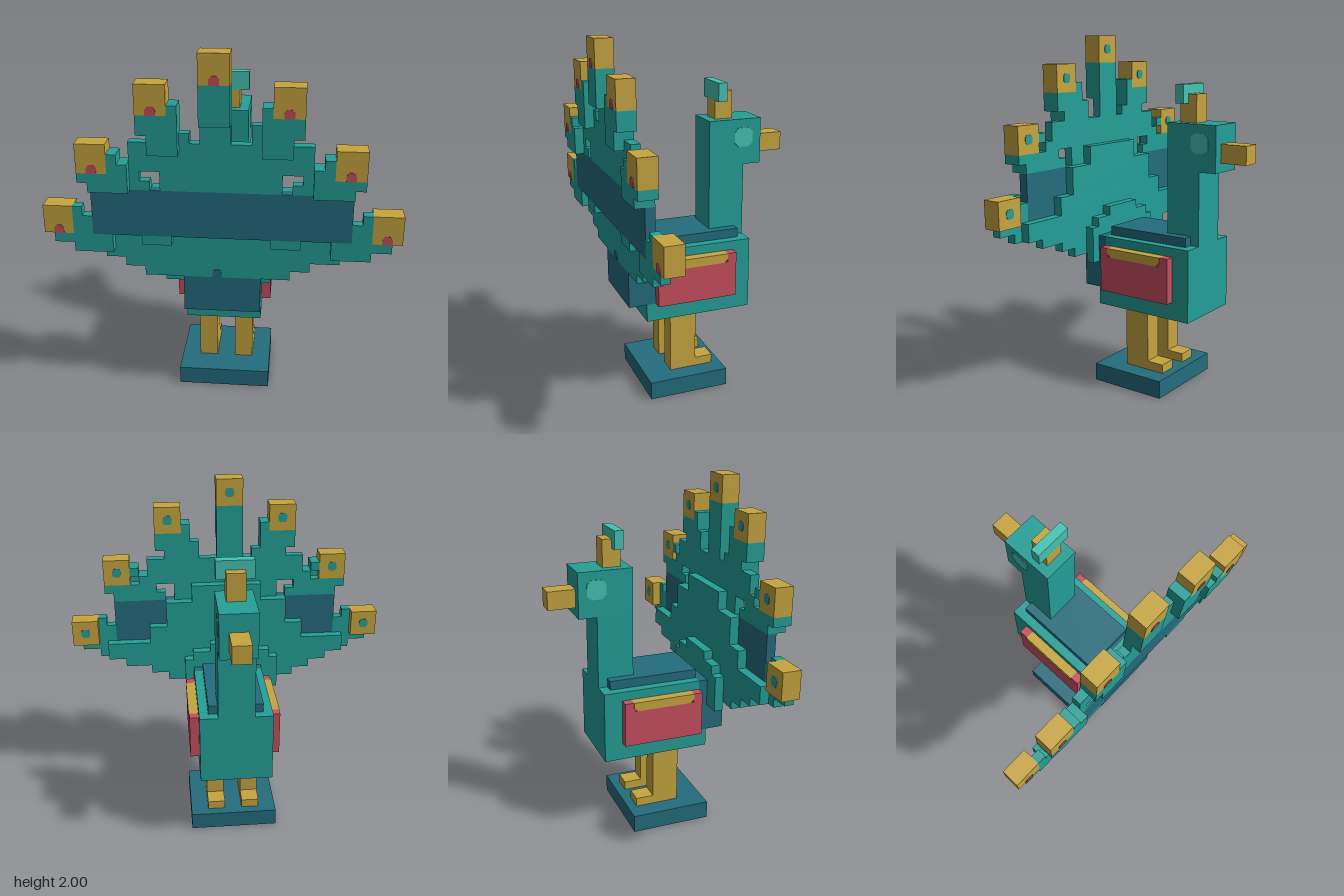
import * as THREE from 'three';

const U = 2 / 39; // one block

const mat = (name, color) => {
  const m = new THREE.MeshStandardMaterial({ color });
  m.name = name;
  return m;
};

export function createModel() {
  const teal = mat('teal', 0x24a098);
  const dark = mat('dark blue', 0x246d7e);
  const gold = mat('gold', 0xc8a63f);
  const red = mat('red', 0xc94f60);
  const light = mat('light teal', 0x45c4b5);

  const model = new THREE.Group();
  model.name = 'blockBird';

  // box between block coordinates
  const box = (name, m, x0, x1, y0, y1, z0, z1, parent = model) => {
    const mesh = new THREE.Mesh(new THREE.BoxGeometry((x1 - x0) * U, (y1 - y0) * U, (z1 - z0) * U), m);
    mesh.position.set((x0 + x1) / 2 * U, (y0 + y1) / 2 * U, (z0 + z1) / 2 * U);
    mesh.name = name;
    parent.add(mesh);
    return mesh;
  };

  // thin painted plate facing +z, turned by ry, corners in blocks
  const plate = (name, m, pts, x, y, z, ry = 0, parent = model) => {
    const shape = new THREE.Shape(pts.map(([a, b]) => new THREE.Vector2(a * U, b * U)));
    const mesh = new THREE.Mesh(new THREE.ExtrudeGeometry(shape, { depth: 0.003, bevelEnabled: false }), m);
    mesh.position.set(x * U, y * U, z * U);
    mesh.rotation.y = ry;
    mesh.name = name;
    parent.add(mesh);
  };
  const octagon = (r, c) => [[-c, -r], [c, -r], [r, -c], [r, c], [c, r], [-c, r], [-r, c], [-r, -c]];
  const bump = [[-0.5, 0], [0.5, 0], [0.5, 0.55], [0.25, 0.9], [-0.25, 0.9], [-0.5, 0.55]];

  // stand, body and back
  box('stand', dark, -5, 5, 0, 2, -2.5, 6.5);
  box('body', teal, -4, 4, 9, 17, -5.5, 5.5);
  box('bodyRear', teal, -4, 4, 9, 11, 5.5, 6.5);
  box('back', dark, -3, 3, 17, 18, -4.5, 5.5);
  box('rump', dark, -4, 4, 11, 15, 5.5, 8.5);
  box('rumpTop', dark, -4, 4, 15, 17, 5.5, 6.5);
  plate('rumpMark', dark, bump, -0.5, 15, 8.5);

  // neck and head
  box('neck', teal, -2, 2, 17, 25, -5.5, -1.5);
  box('head', teal, -2, 2, 25, 30, -7.5, -1.5);
  box('beak', gold, -1, 1, 26, 28, -10.5, -7.5);
  box('crestStem', gold, -1, 1, 30, 32, -4.5, -2.5);
  box('crestStemTip', gold, -1, 1, 32, 33, -4.5, -3.5);
  box('crest', light, -2, 2, 32, 34, -3.5, -2.5);

  // legs, wings and eyes on both sides
  for (const s of [-1, 1]) {
    box('leg', gold, s * 2 - 1, s * 2 + 1, 2, 9, 0.5, 3.5);
    box('foot', gold, s * 2 - 1, s * 2 + 1, 2, 3, -1.5, 0.5);
    const w0 = s > 0 ? 4 : -5;
    box('wing', red, w0, w0 + 1, 11, 15, -3.5, 5.5);
    box('wingFrontEnd', red, w0, w0 + 1, 15, 16, -3.5, -2.5);
    box('wingRearEnd', red, w0, w0 + 1, 15, 16, 4.5, 5.5);
    box('wingBand', red, w0 + (s < 0 ? 0.1 : 0), w0 + (s < 0 ? 1 : 0.9), 15, 15.9, -2.5, 4.5);
    box('wingTopEdge', gold, w0, w0 + 1, 15.9, 16, -2.5, 4.5);
    plate('wingStripe', gold, [[-3.1, 0], [3.1, 0], [3.5, 0.4], [3.5, 1], [-3.5, 1], [-3.5, 0.4]],
      s * 5, 15, 1, s * Math.PI / 2);
    plate('eye', light, octagon(1.05, 0.6), s * 2, 28, -5.5, s * Math.PI / 2);
  }

  // tail fan: four sheets, each row is [y0, y1, x0, x1]
  const tail = new THREE.Group();
  tail.name = 'tailFan';
  model.add(tail);
  const sheet = (name, z, rows) =>
    rows.forEach(([y0, y1, x0, x1]) => box(name, teal, x0, x1, y0, y1, z, z + 1, tail));

  sheet('innerFan', 6.5, [[14, 18, -6, 5], [18, 19, -5, 4], [19, 20, -3, 2]]);
  sheet('middleFan', 7.5, [
    [15, 16, -8, 7], [16, 17, -10, 9], [17, 18, -12, 12], [18, 20, -14, 14],
    [20, 22, -9, 9], [22, 25, -7, 7], [25, 27, -4, 4],
  ]);
  sheet('outerFan', 8.5, [
    [25, 26, -6, 6], [26, 27, -6, 6], [27, 28, -10, 10], [28, 30, -9, 9],
    [30, 31, -4, -3], [30, 32, 3, 4], [30, 36, -2, 1],
  ]);
  sheet('centreFeather', 9.5, [[32, 36, -2, 1]]);
  box('fanBand', dark, -13, 13, 20, 25, 8.5, 9.5, tail);

  // feather rows given for the +x side and mirrored
  const pair = (name, z, rows) => {
    for (const s of [-1, 1])
      sheet(name, z, rows.map(([y0, y1, a, b]) => (s > 0 ? [y0, y1, a, b] : [y0, y1, -b, -a])));
  };
  pair('lowFeather', 8.5, [
    [18, 19, 11, 15], [19, 20, 11, 17], [20, 23, 14, 15], [20, 22, 13, 14], [19, 20, 5, 8],
  ]);
  pair('sideFeather', 8.5, [[25, 26, 7, 13], [26, 27, 8, 14], [28, 29, 10, 11]]);
  pair('sideFeatherRear', 9.5, [[25, 26, 9, 13], [26, 27, 9, 14], [27, 29, 10, 11], [27, 28, 9, 10]]);
  pair('highFeather', 8.5, [[30, 31, 4, 7], [31, 33, 4, 8], [33, 34, 4, 5]]);
  pair('highFeatherRear', 9.5, [[29, 31, 4, 7], [31, 33, 4, 8], [33, 34, 4, 5]]);

  // golden feather tips with a spot on each face: [x0, y0, z0]
  const tips = [[-2, 36, 8.5]];
  for (const [x, y, z] of [[5, 33, 8.5], [11, 27, 8.5], [15, 20, 7.5]]) tips.push([x, y, z], [-x - 3, y, z]);
  for (const [x, y, z] of tips) {
    box('featherTip', gold, x, x + 3, y, y + 3, z, z + 2, tail);
    plate('redSpot', red, bump, x + 1.5, y, z + 2, 0, tail);
    plate('tealSpot', teal, octagon(0.5, 0.28), x + 1.5, y + 1.5, z, Math.PI, tail);
  }

  return model;
}
